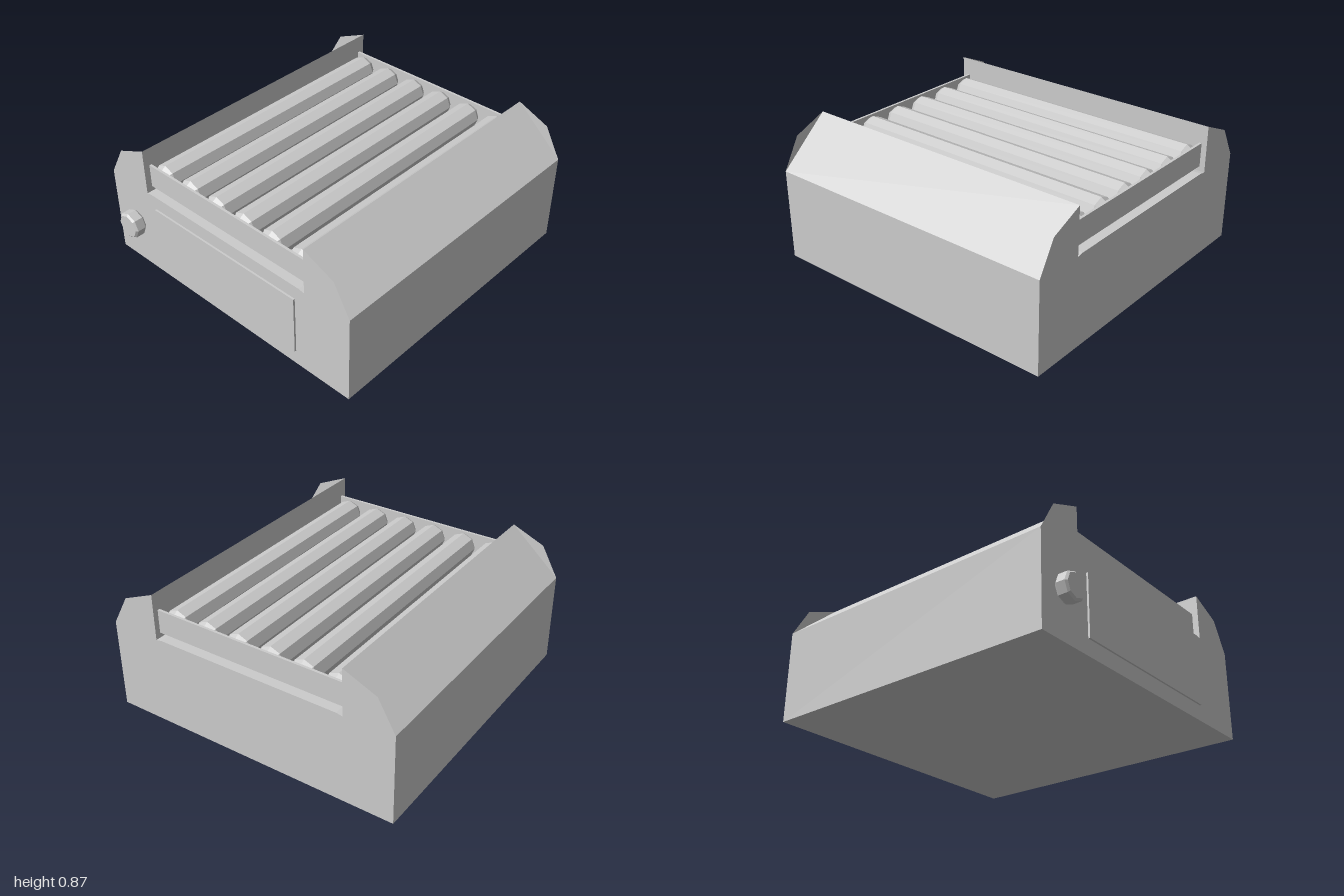
import * as THREE from 'three';

export function createModel() {
  const model = new THREE.Group();
  const grey = new THREE.MeshStandardMaterial({ color: 0xcccccc, flatShading: true });
  grey.name = 'greyMetal';
  const greySheet = grey.clone();
  greySheet.name = 'greySheet';
  greySheet.side = THREE.DoubleSide;

  const BACK = -1, FRONT = 0.92;
  const add = (name, geometry, x, y, z, material = grey) => {
    const mesh = new THREE.Mesh(geometry, material);
    mesh.name = name;
    mesh.position.set(x, y, z);
    model.add(mesh);
    return mesh;
  };
  const shapeOf = (points) => new THREE.Shape(points.map(([x, y]) => new THREE.Vector2(x, y)));

  // Housing: a trough between two sloping side walls
  const half = [[0.96, 0], [0.96, 0.58], [0.64, 0.865], [0.64, 0.568], [0.6, 0.575]];
  const outline = [...half, ...half.map(([x, y]) => [-x, y]).reverse()];
  add('housing', new THREE.ExtrudeGeometry(shapeOf(outline), { depth: FRONT - BACK, bevelEnabled: false }), 0, 0, BACK);

  // Thin end fins standing proud of the side slopes
  for (const s of [-1, 1]) {
    for (const z of [BACK, FRONT]) {
      const fin = shapeOf([[s * 0.96, 0.58], [s * 0.85, 0.775], [s * 0.64, 0.865]]);
      add('endFin', new THREE.ShapeGeometry(fin), 0, 0, z, greySheet);
    }
  }

  // Rails that hold the roller ends
  for (const z of [-0.957, 0.873]) {
    add('rollerRail', new THREE.BoxGeometry(1.28, 0.15, 0.016), 0, 0.675, z);
  }

  // Turned parts: eight sides, bevelled ends, axis along z
  const turned = (profile) => new THREE.LatheGeometry(
    profile.map(([r, h]) => new THREE.Vector2(r, h)), 8).rotateX(Math.PI / 2);

  // Six rollers
  const roller = turned([[0, -0.905], [0.063, -0.905], [0.086, -0.87], [0.086, 0.87], [0.063, 0.905], [0, 0.905]]);
  for (let i = 0; i < 6; i++) add('roller', roller, -0.56 + i * 0.22, 0.67, -0.042);

  // Front panel and control knob
  add('frontPanel', new THREE.BoxGeometry(1.14, 0.386, 0.012), 0, 0.293, 0.926);
  add('knob', turned([[0, 0], [0.075, 0], [0.086, 0.012], [0.086, 0.068], [0.074, 0.08], [0, 0.08]]), -0.775, 0.293, 0.92);

  return model;
}
